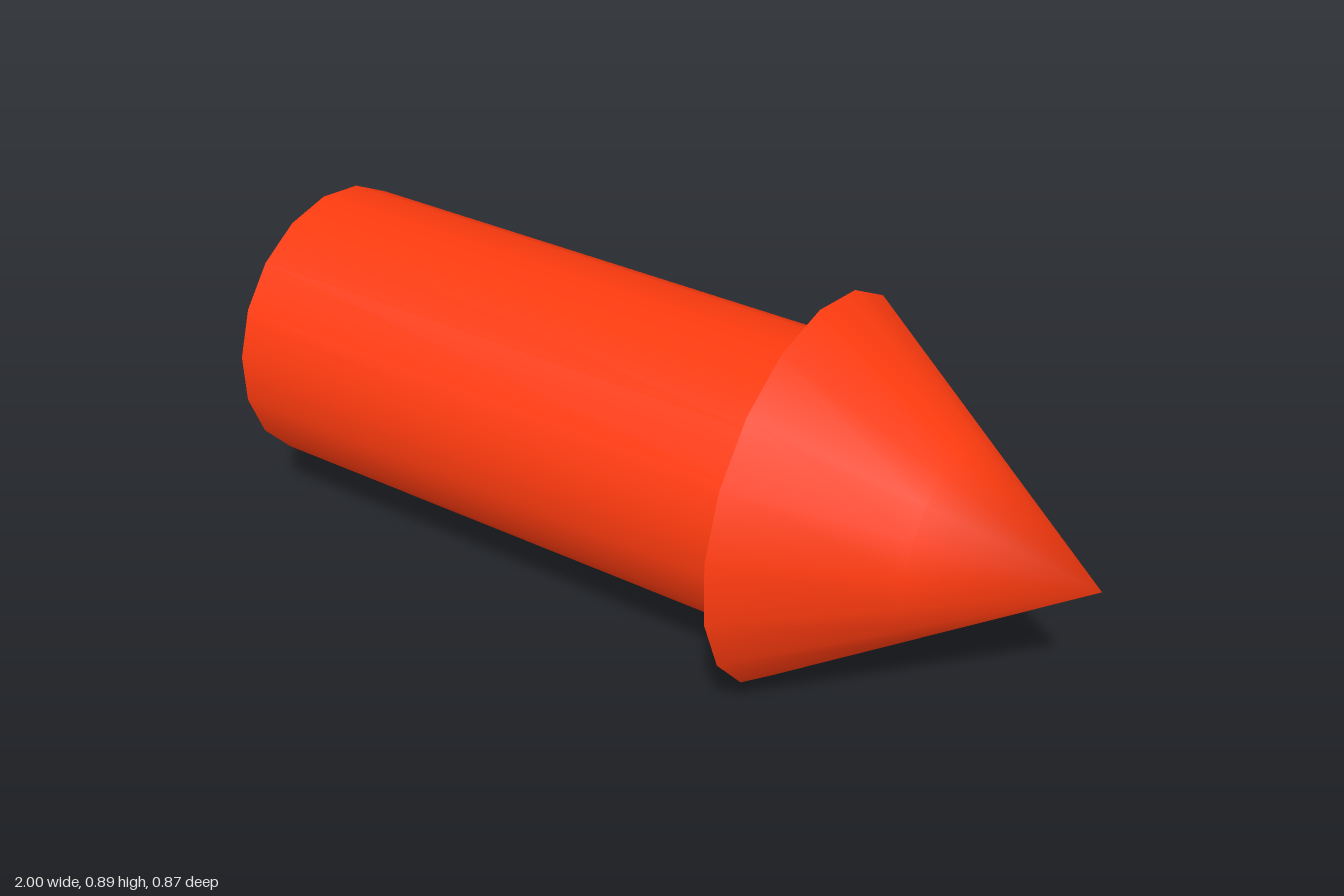
import * as THREE from 'three';

const SIDES = 18;
const AXIS_Y = 0.444;   // height of the arrow's centre line
const NECK_X = 0.333;   // where the shaft meets the head

// Closed round part lying along +x, with a corner pointing straight up
function roundPart(name, frontRadius, backRadius, x0, x1, rings, material) {
  const geometry = new THREE.CylinderGeometry(
    frontRadius, backRadius, x1 - x0, SIDES, rings, false, Math.PI / 2);
  // A pointed end gets one shared normal so its tip shades softly
  if (frontRadius === 0) {
    for (let i = 0; i <= SIDES; i++) geometry.attributes.normal.setXYZ(i, 0, 1, 0);
  }
  geometry.rotateZ(-Math.PI / 2);
  const mesh = new THREE.Mesh(geometry, material);
  mesh.name = name;
  mesh.position.set((x0 + x1) / 2, AXIS_Y, 0);
  return mesh;
}

export function createModel() {
  const group = new THREE.Group();
  group.name = 'arrow';
  const red = new THREE.MeshStandardMaterial({ color: 0xff3b0f });

  group.add(roundPart('shaft', 0.333, 0.333, -1, NECK_X, 1, red));
  group.add(roundPart('arrowHead', 0, 0.444, NECK_X, 1, 2, red));
  return group;
}
